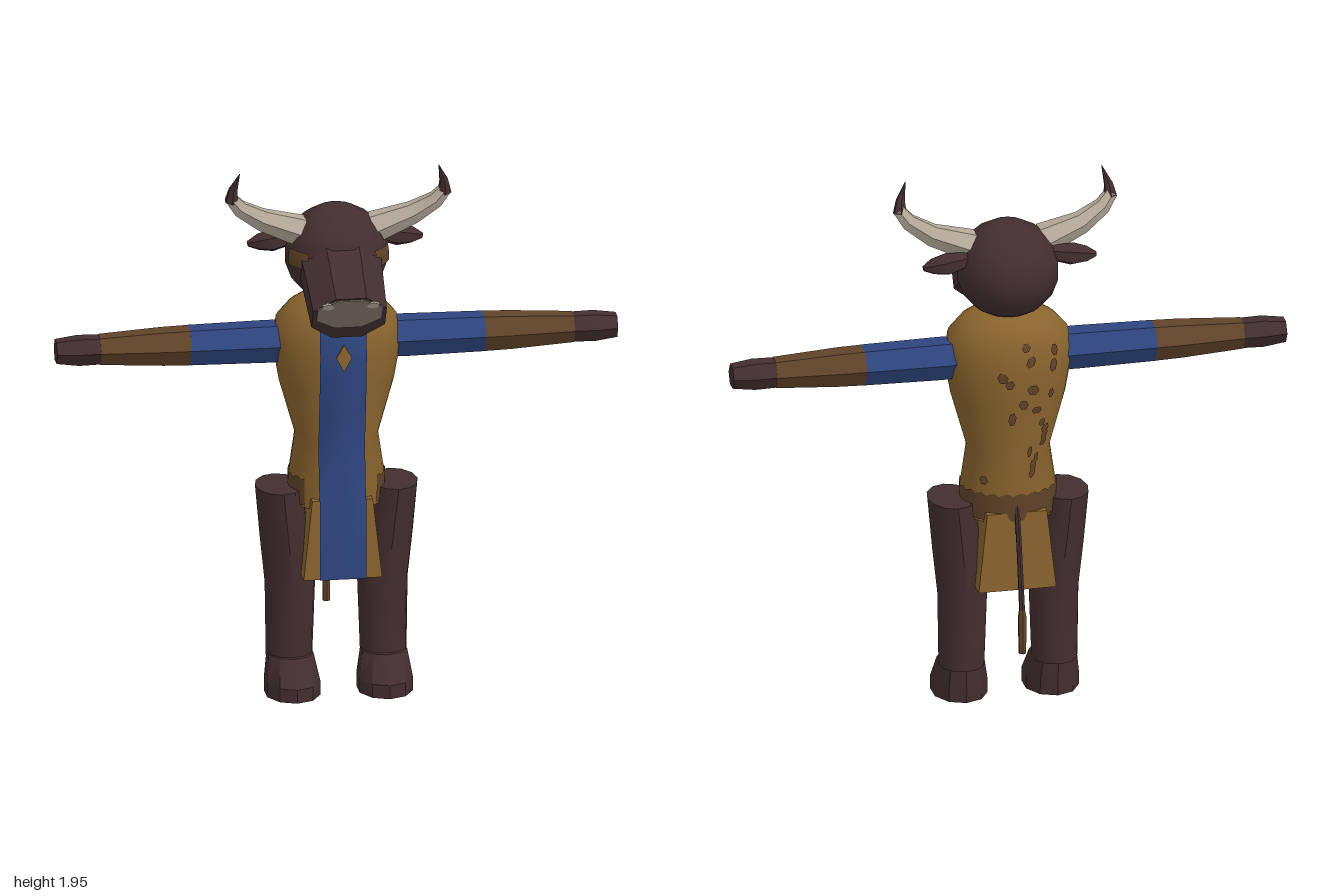
import * as THREE from 'three';
import { toCreasedNormals } from 'three/addons/utils/BufferGeometryUtils.js';

const V = (x, y, z) => new THREE.Vector3(x, y, z);
const UP = V(0, 1, 0), FRONT = V(0, 0, 1);

function material(name, color, side = THREE.FrontSide) {
  const m = new THREE.MeshStandardMaterial({ color, side });
  m.name = name;
  return m;
}

// Triangles from a grid of point rows; each row runs anticlockwise around the travel direction.
function skin(rows, caps = false, crease = 0.6) {
  const pos = [];
  const tri = (...p) => p.forEach((q) => pos.push(q.x, q.y, q.z));
  for (let r = 0; r + 1 < rows.length; r++) {
    for (let i = 0; i + 1 < rows[r].length; i++) {
      const [a, b] = [rows[r], rows[r + 1]];
      tri(a[i], a[i + 1], b[i + 1]);
      tri(a[i], b[i + 1], b[i]);
    }
  }
  if (caps) {
    const first = rows[0], last = rows[rows.length - 1];
    for (let i = 1; i + 2 < first.length; i++) {
      tri(first[0], first[i + 1], first[i]);
      tri(last[0], last[i], last[i + 1]);
    }
  }
  const g = new THREE.BufferGeometry();
  g.setAttribute('position', new THREE.Float32BufferAttribute(pos, 3));
  g.computeVertexNormals();
  return toCreasedNormals(g, crease);
}

// Elliptical sections [x, y, z, ru, rv] along a path; ru lies along ref.
function limb(path, sides, ref, { axis = null, turn = 0, crease = 0.6 } = {}) {
  const pts = path.map((p) => V(p[0], p[1], p[2]));
  const rows = path.map((p, k) => {
    const w = axis ? axis.clone() : pts[Math.min(k + 1, pts.length - 1)].clone().sub(pts[Math.max(k - 1, 0)]).normalize();
    const u = ref.clone().addScaledVector(w, -ref.dot(w)).normalize();
    const v = w.clone().cross(u);
    return Array.from({ length: sides + 1 }, (_, i) => {
      const a = turn + ((i % sides) / sides) * Math.PI * 2;
      return pts[k].clone().addScaledVector(u, p[3] * Math.cos(a)).addScaledVector(v, (p[4] ?? p[3]) * Math.sin(a));
    });
  });
  return skin(rows, true, crease);
}

// Torso profile: height, half width, half depth
const CZ = -0.055;
const TORSO = [
  [0.7, 0.165, 0.15], [0.8, 0.17, 0.155], [0.95, 0.148, 0.15], [1.15, 0.205, 0.17],
  [1.28, 0.228, 0.18], [1.38, 0.215, 0.17], [1.43, 0.17, 0.145], [1.46, 0.12, 0.11],
];
function torsoSize(y) {
  let k = 0;
  while (k < TORSO.length - 2 && y > TORSO[k + 1][0]) k++;
  const [a, b] = [TORSO[k], TORSO[k + 1]];
  const t = (y - a[0]) / (b[0] - a[0]);
  return [a[1] + (b[1] - a[1]) * t, a[2] + (b[2] - a[2]) * t];
}
function onTorso(angle, y, lift) {
  const [rx, rz] = torsoSize(y);
  return V((rx + lift) * Math.sin(angle), y, CZ + (rz + lift) * Math.cos(angle));
}

export function createModel() {
  const model = new THREE.Group();
  model.name = 'hornedFigure';
  const hide = material('darkHide', 0x432e2f);
  const gold = material('goldCloth', 0x8a642e);
  const blue = material('blueCloth', 0x2e457f, THREE.DoubleSide);
  const leather = material('brownLeather', 0x614329, THREE.DoubleSide);
  const cream = material('hornCream', 0xb5a999);
  const grey = material('noseGrey', 0x82786d);
  const add = (name, geo, mat) => {
    const m = new THREE.Mesh(geo, mat);
    m.name = name;
    model.add(m);
    return m;
  };

  // Torso and skirt
  add('torso', limb(TORSO.map(([y, rx, rz]) => [0, y, CZ, rz, rx]), 32, FRONT, { axis: UP, crease: 0.9 }), gold);
  const R2 = Math.SQRT2;
  add('skirt', limb([[0, 0.45, CZ, 0.16 * R2, 0.14 * R2], [0, 0.74, CZ, 0.152 * R2, 0.108 * R2]], 4, FRONT,
    { axis: UP, turn: Math.PI / 4 }), gold);

  // Waist band with a ragged top, open at the front
  const bandRow = (y, rag) => Array.from({ length: 49 }, (_, i) =>
    onTorso(0.85 + (i / 48) * (Math.PI * 2 - 1.7), y + rag * Math.sin(i * 2.1), 0.004));
  add('waistBand', skin([bandRow(0.71, 0), bandRow(0.76, 0), bandRow(0.81, 0.006)]), leather);

  // Tabard running down the chest and over the skirt
  const tabardRows = [0.45, 0.74, 0.8, 0.88, 0.95, 1.05, 1.15, 1.22, 1.28, 1.33, 1.38, 1.43].map((y) =>
    Array.from({ length: 9 }, (_, i) => {
      const x = -0.083 + (i / 8) * 0.166;
      if (y < 0.78) return V(x, y, 0.112 - (y - 0.45) * 0.02);
      const [rx, rz] = torsoSize(y);
      return V(x, y, CZ + rz * Math.sqrt(1 - (x / rx) ** 2) + 0.006);
    }));
  add('tabard', skin(tabardRows, false, 0.9), blue);
  const diamond = new THREE.Shape([[0, -0.05], [0.028, 0], [0, 0.05], [-0.028, 0]].map((p) => new THREE.Vector2(...p)));
  add('chestDiamond', new THREE.ExtrudeGeometry(diamond, { depth: 0.008, bevelEnabled: false }), gold)
    .position.set(0, 1.28, 0.127);

  // Worn patches scattered over the back
  let seed = 7;
  const rand = () => (seed = (seed * 16807) % 2147483647) / 2147483647;
  const spots = [];
  for (let k = 0; k < 20; k++) {
    const y = 0.86 + k * 0.027, a = Math.PI + (rand() - 0.5) * 1.5;
    const w = 0.06 + rand() * 0.05, h = 0.013 + rand() * 0.014, lean = (rand() - 0.3) * 0.02;
    const ring = Array.from({ length: 7 }, (_, i) => {
      const t = ((i % 6) / 6) * Math.PI * 2;
      return onTorso(a + w * Math.cos(t), y + h * Math.sin(t) + lean * Math.cos(t), 0.005);
    });
    spots.push([ring, ring.map(() => onTorso(a, y, 0.005))]);
  }
  spots.forEach((rows) => add('backPatch', skin(rows), leather));

  // Head, muzzle and nose
  const head = add('head', new THREE.SphereGeometry(1, 14, 9), hide);
  head.scale.set(0.185, 0.178, 0.187);
  head.position.set(0, 1.615, -0.055);
  const slope = V(0, -0.515, 0.857), lift = V(0, 0.857, 0.515);
  const tip = V(0, 1.47, 0.25);
  const along = (d, up, x = 0) => tip.clone().addScaledVector(slope, d).addScaledVector(lift, up).setX(x).toArray();
  add('muzzle', limb([[...along(-0.28, 0), 0.115, 0.155], [...along(0, 0), 0.112, 0.142]], 8, UP, { turn: Math.PI / 8 }), hide);
  add('nose', limb([[...along(-0.002, 0.025), 0.077, 0.126], [...along(0.005, 0.025), 0.077, 0.126]], 8, UP,
    { turn: Math.PI / 8 }), grey);

  for (const s of [1, -1]) {
    const side = s > 0 ? 'left' : 'right';
    const put = (part, geo, mat) => add(side + part, geo, mat);

    // Face details
    put('Nostril', limb([[...along(0, 0.07, s * 0.08), 0.015, 0.024], [...along(0.008, 0.07, s * 0.08), 0.015, 0.024]], 6, UP), cream);
    const from = s > 0 ? 2.27 : Math.PI - 2.83;
    const eye = put('Eye', new THREE.SphereGeometry(1, 6, 4, from, 0.56, 1.33, 0.34), leather);
    eye.scale.set(0.189, 0.182, 0.191);
    eye.position.copy(head.position);

    // Horns and ears
    put('Horn', limb([[s * 0.13, 1.705, -0.04, 0.062, 0.058], [s * 0.27, 1.755, -0.035, 0.04, 0.042],
      [s * 0.35, 1.805, -0.02, 0.028, 0.032], [s * 0.385, 1.85, -0.01, 0.022, 0.024]], 6, FRONT), cream);
    put('HornTip', limb([[s * 0.38, 1.835, -0.012, 0.026], [s * 0.376, 1.88, -0.002, 0.017],
      [s * 0.355, 1.945, 0.015, 0.001]], 6, FRONT), hide);
    put('Ear', limb([[s * 0.15, 1.67, -0.085, 0.028], [s * 0.225, 1.66, -0.085, 0.042, 0.052],
      [s * 0.275, 1.655, -0.085, 0.03, 0.04], [s * 0.312, 1.65, -0.085, 0.01]], 6, UP), hide);

    // Arms: sleeve, forearm, hand
    const arm = (part, rings, mat) => put(part, limb(rings.map(([x, r]) => [s * x, 1.292, -0.06, r]), 6, FRONT), mat);
    arm('Sleeve', [[0.15, 0.076], [0.25, 0.077], [0.525, 0.073]], blue);
    arm('Forearm', [[0.515, 0.073], [0.62, 0.07], [0.845, 0.056]], leather);
    arm('Hand', [[0.835, 0.054], [0.92, 0.056], [1.0, 0.045]], hide);

    // Legs and feet
    put('Leg', limb([[s * 0.168, 0.125, -0.058, 0.088, 0.083], [s * 0.165, 0.4, -0.058, 0.098, 0.09],
      [s * 0.185, 0.57, -0.055, 0.113, 0.088], [s * 0.205, 0.76, -0.053, 0.122, 0.085]], 12, FRONT, { axis: UP }), hide);
    put('Foot', limb([[s * 0.165, 0, -0.003, 0.127, 0.1], [s * 0.165, 0.05, -0.003, 0.128, 0.1],
      [s * 0.167, 0.14, -0.04, 0.09, 0.084]], 10, FRONT, { axis: UP }), hide);
  }

  // Tail
  add('tail', limb([[0, 0.8, -0.195, 0.01], [0, 0.6, -0.245, 0.01], [0, 0.39, -0.288, 0.011]], 6, FRONT), hide);
  add('tailTuft', limb([[0, 0.41, -0.284, 0.01], [0, 0.375, -0.289, 0.016], [0, 0.24, -0.29, 0.014]], 6, FRONT), leather);

  return model;
}
